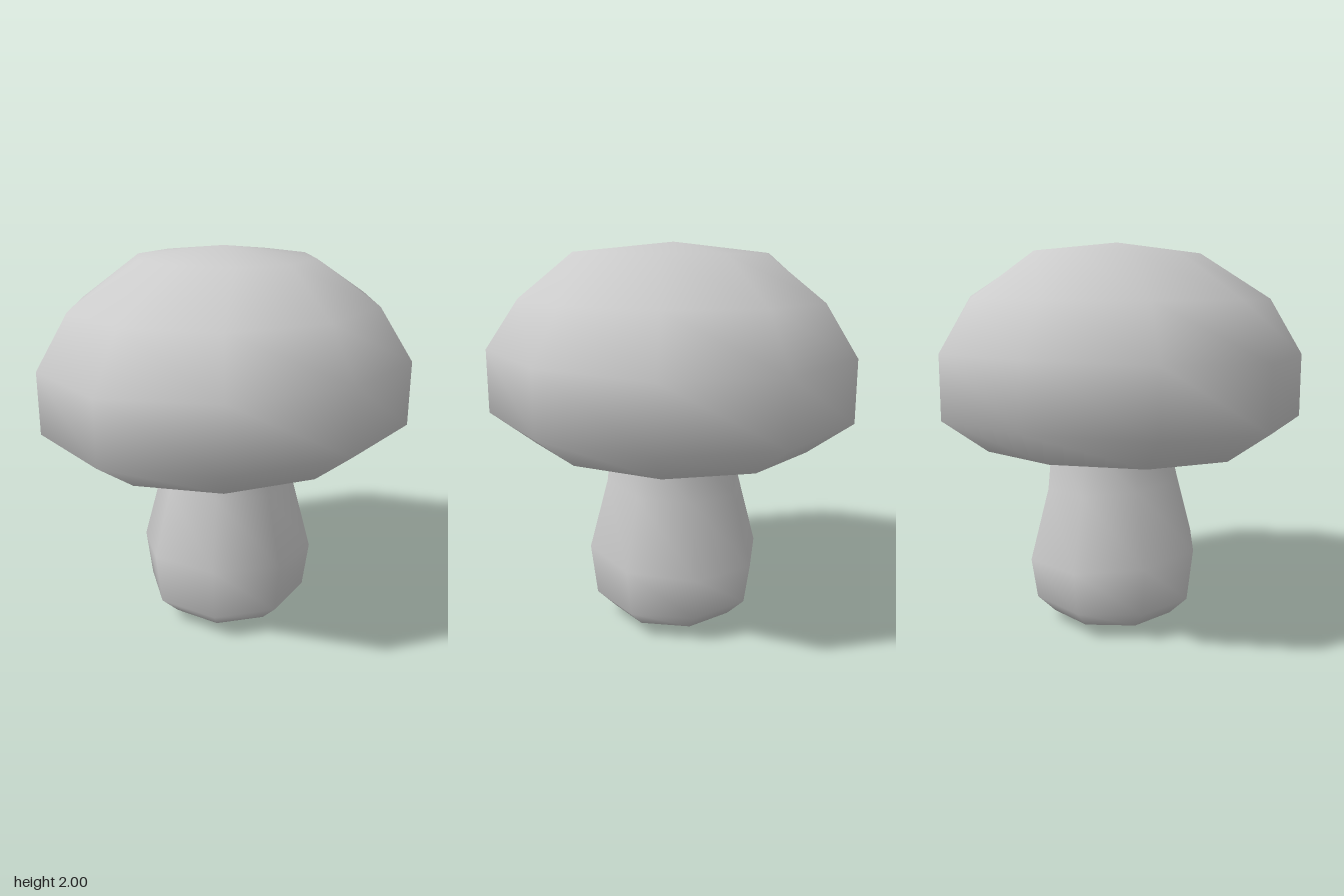
import * as THREE from 'three';
import { mergeVertices } from 'three/addons/utils/BufferGeometryUtils.js';

const material = new THREE.MeshStandardMaterial({ color: 0xcccccc });

// Turned form (profile from bottom to top) whose vertices are moved by a rule, then smoothed
function turned(name, profile, sides, rule) {
  let geo = new THREE.LatheGeometry(profile.map(([r, y]) => new THREE.Vector2(r, y)), sides);
  geo.deleteAttribute('uv');
  geo.deleteAttribute('normal');
  const pos = geo.attributes.position;
  const v = new THREE.Vector3();
  for (let i = 0; i < pos.count; i++) {
    v.fromBufferAttribute(pos, i);
    rule(v);
    pos.setXYZ(i, v.x, v.y, v.z);
  }
  geo = mergeVertices(geo, 1e-4);
  geo.computeVertexNormals();
  const mesh = new THREE.Mesh(geo, material);
  mesh.name = name;
  return mesh;
}

// Slight hand-made lean of the cap; its crown is narrower across x
function leanCap(v) {
  if (v.y > 1.9) v.x *= 0.82;
  const lift = v.y > 1.6 ? 0 : 0.038;
  v.y += 0.012 * v.x + 0.012 * v.z + lift * v.z * v.z;
}

// The stem sits a little towards +x, its bulge drooping on that side
function leanStem(v) {
  v.x += 0.02;
  if (v.y > 0.3 && v.y < 0.9) v.y += -0.06 * v.x + 0.05 * v.z;
}

export function createModel() {
  const group = new THREE.Group();
  group.name = 'mushroom';

  // Domed cap
  group.add(turned('cap', [
    [0.72, 0.965], [0.95, 1.125], [0.95, 1.443], [0.785, 1.722], [0.51, 1.947], [0, 2],
  ], 10, leanCap));

  // Flat underside, kept apart for a sharp rim
  group.add(turned('capUnderside', [[0, 0.975], [0.72, 0.965]], 10, leanCap));

  // Bulging stem with a shallow pointed foot
  group.add(turned('stem', [
    [0, 0], [0.335, 0.05], [0.43, 0.143], [0.462, 0.39], [0.363, 0.76], [0.338, 1.0],
  ], 8, leanStem));

  return group;
}
